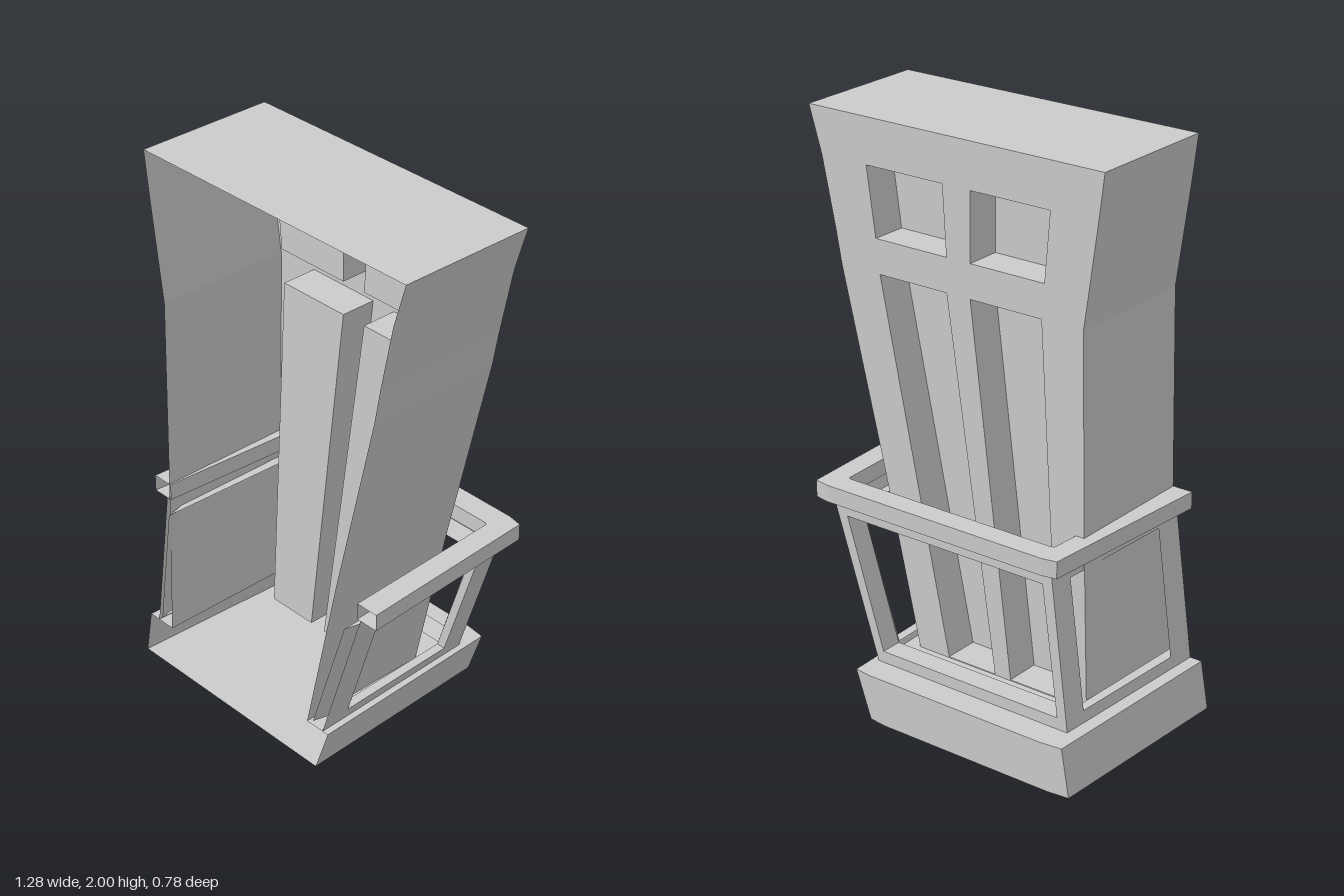
import * as THREE from 'three';

const material = new THREE.MeshStandardMaterial({ color: 0xcccccc, flatShading: true, side: THREE.DoubleSide });
const V = (x, y, z) => new THREE.Vector3(x, y, z);

// Joins successive cross-sections (arrays of points) with quads; closed wraps each section round.
function loft(sections, closed = false) {
  const pos = [];
  for (let s = 0; s + 1 < sections.length; s++) {
    const a = sections[s], b = sections[s + 1], n = a.length;
    for (let i = 0; i < (closed ? n : n - 1); i++) {
      const j = (i + 1) % n;
      for (const p of [a[i], a[j], b[j], a[i], b[j], b[i]]) pos.push(p.x, p.y, p.z);
    }
  }
  const g = new THREE.BufferGeometry();
  g.setAttribute('position', new THREE.Float32BufferAttribute(pos, 3));
  g.computeVertexNormals();
  return g;
}

// Plan outline [x, z] lifted to height y
const atHeight = (plan, y) => plan.map(([x, z]) => V(x, y, z));

export function createModel() {
  const model = new THREE.Group();
  const add = (name, geometry) => {
    const mesh = new THREE.Mesh(geometry, material);
    mesh.name = name;
    model.add(mesh);
    return mesh;
  };

  const FRONT = 0.37, WALL = -0.13, LEDGE = 0.17, RECESS = 0;

  // Leaning tower walls: [y, xMin, xMax]
  const levels = [
    [LEDGE, -0.495, 0.2], [0.78, -0.475, 0.34], [1.48, -0.46, 0.512],
    [1.6, -0.477, 0.535], [1.84, -0.51, 0.587], [2, -0.53, 0.637],
  ];
  for (const [name, k] of [['rightWall', 1], ['leftWall', 2]])
    add(name, loft(levels.map(l => [V(l[k], l[0], FRONT), V(l[k], l[0], WALL)])));
  add('roof', loft([[V(-0.53, 2, FRONT), V(0.637, 2, FRONT)], [V(-0.53, 2, WALL), V(0.637, 2, WALL)]]));

  // Back wall with two small windows above two tall slanted ones
  const windows = [
    [[-0.33, 1.84], [-0.02, 1.84], [-0.02, 1.6], [-0.31, 1.6]],
    [[0.09, 1.84], [0.4, 1.84], [0.365, 1.6], [0.075, 1.6]],
    [[-0.3, 1.48], [-0.02, 1.48], [-0.185, 0.173], [-0.38, 0.173]],
    [[0.075, 1.48], [0.35, 1.48], [0.075, 0.173], [-0.12, 0.173]],
  ];
  const toShape = pts => new THREE.Shape(pts.map(([x, y]) => new THREE.Vector2(x, y)));
  const wall = toShape([...levels.map(l => [l[1], l[0]]), ...levels.map(l => [l[2], l[0]]).reverse()]);
  wall.holes = windows.map(toShape);
  add('backWall', new THREE.ShapeGeometry(wall)).position.z = WALL;
  for (const w of windows) {
    add('windowReveal', loft([WALL, RECESS].map(z => w.map(([x, y]) => V(x, y, z))), true));
    add('windowPane', new THREE.ShapeGeometry(toShape(w))).position.z = RECESS;
  }

  // Hollow balcony base, open at the front, with floor and ledge
  const baseLow = [[-0.64, FRONT], [-0.61, -0.382], [-0.53, -0.39], [0.14, -0.39], [0.21, -0.382], [0.24, FRONT]];
  const baseHigh = [[-0.61, FRONT], [-0.58, -0.382], [-0.5, -0.39], [0.2, -0.39], [0.27, -0.382], [0.3, FRONT]];
  const foot = [[-0.495, FRONT], [-0.495, WALL], [-0.495, WALL], [0.2, WALL], [0.2, WALL], [0.2, FRONT]];
  add('baseSkirt', loft([atHeight(baseLow, 0), atHeight(baseHigh, LEDGE)]));
  add('baseLedge', loft([atHeight(baseHigh, LEDGE), atHeight(foot, LEDGE)]));
  const floor = new THREE.ShapeGeometry(toShape(baseLow));
  floor.rotateX(Math.PI / 2);
  add('baseFloor', floor);

  // Balustrade panels, each with an opening and an inner reveal
  const low = atHeight([[-0.565, FRONT], [-0.535, -0.29], [0.25, -0.29], [0.275, FRONT]], LEDGE);
  const high = atHeight([[-0.49, FRONT], [-0.465, -0.29], [0.43, -0.29], [0.455, FRONT]], 0.72);
  function panel(name, i, u0, u1, inward) {
    const at = (u, v) => low[i].clone().lerp(low[i + 1], u)
      .lerp(high[i].clone().lerp(high[i + 1], u), v);
    const ring = (a, b, c, d) => [at(a, c), at(b, c), at(b, d), at(a, d)];
    const hole = ring(u0, u1, 0.075, 0.91);
    add(name, loft([ring(0, 1, 0, 1), hole], true));
    add(name + 'Reveal', loft([hole, hole.map(inward)], true));
  }
  // Side reveals widen forward, slightly past the front edge
  const sideways = dx => p => V(p.x + dx, p.y, p.z > 0 ? 0.39 : p.z);
  panel('rightBalustrade', 0, 0.16, 0.864, sideways(0.033));
  panel('backBalustrade', 1, 0.045, 0.955, p => V(p.x, p.y, p.z + 0.08));
  panel('leftBalustrade', 2, 0.136, 0.84, sideways(-0.033));

  // Handrail: rectangular section swept round three sides
  const outer = [[-0.55, FRONT], [-0.505, -0.315], [-0.45, -0.325], [0.43, -0.325], [0.485, -0.315], [0.525, FRONT]];
  const inner = [[-0.47, FRONT], [-0.437, -0.235], [-0.425, -0.24], [0.4, -0.24], [0.41, -0.235], [0.44, FRONT]];
  add('handrail', loft(outer.map((o, i) => [
    V(o[0], 0.72, o[1]), V(o[0], 0.78, o[1]),
    V(inner[i][0], 0.78, inner[i][1]), V(inner[i][0], 0.72, inner[i][1]),
  ]), true));

  return model;
}
